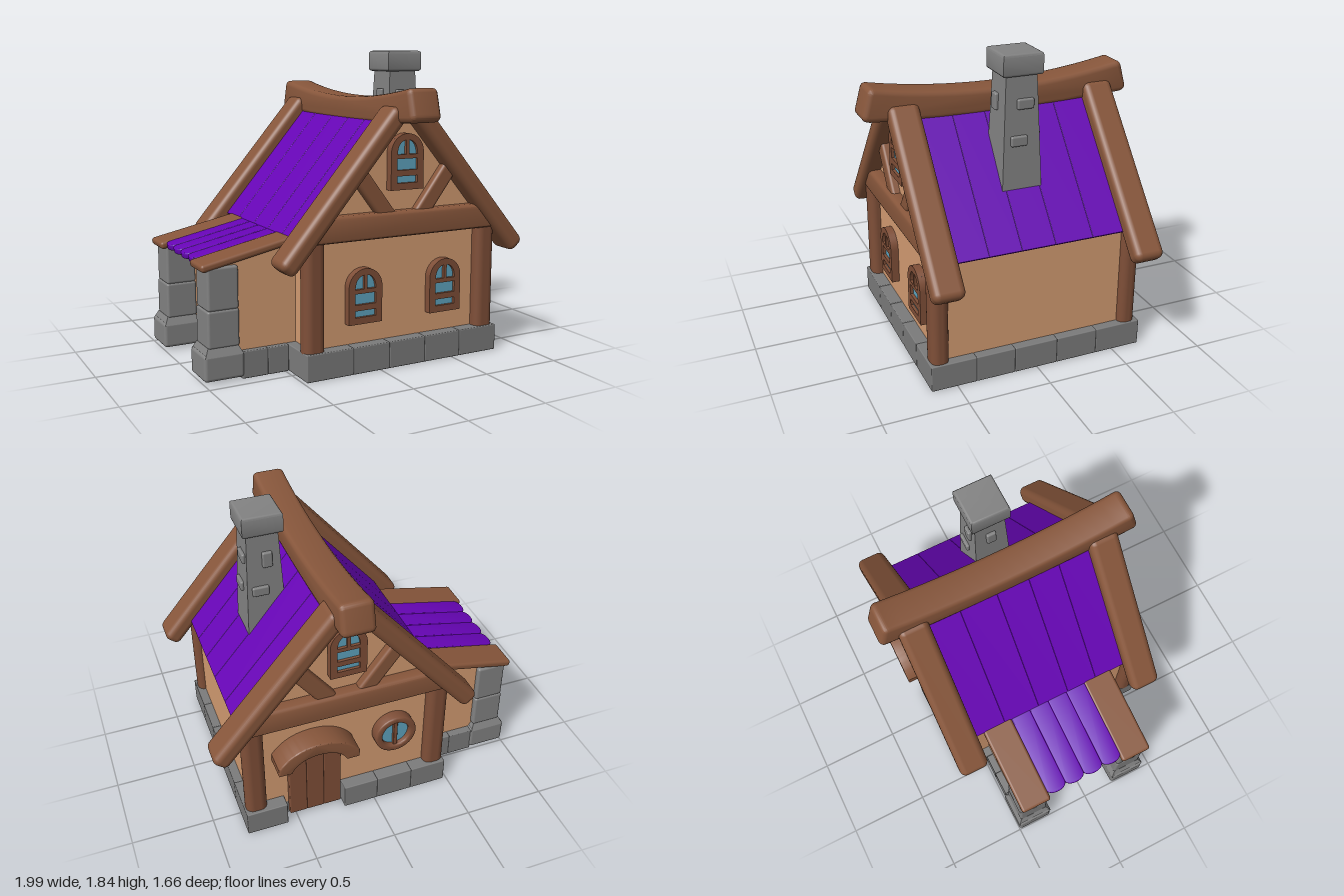
import * as THREE from 'three';
import { toCreasedNormals } from 'three/addons/utils/BufferGeometryUtils.js';
import { RoundedBoxGeometry } from 'three/addons/geometries/RoundedBoxGeometry.js';

const mat = (name, color) => Object.assign(new THREE.MeshStandardMaterial({ color }), { name });

export function createModel() {
  const wood = mat('timber', 0x87563b);
  const darkWood = mat('darkTimber', 0x7f4f38);
  const plaster = mat('plaster', 0xd49c72);
  const purple = mat('purpleRoof', 0x6705b6);
  const stone = mat('stone', 0x828282);
  const baseStone = mat('foundationStone', 0x7b7b7b);
  const glass = mat('glass', 0x5fa5c0);

  const house = new THREE.Group();
  house.name = 'cottage';

  const add = (parent, name, geo, material, x = 0, y = 0, z = 0, rotZ = 0) => {
    const m = new THREE.Mesh(geo, material);
    m.name = name;
    m.position.set(x, y, z);
    m.rotation.z = rotZ;
    parent.add(m);
    return m;
  };
  const group = (name, parent = house) => {
    const g = new THREE.Group();
    g.name = name;
    parent.add(g);
    return g;
  };
  const rbox = (w, h, d, r = 0.01) => new RoundedBoxGeometry(w, h, d, 3, r);
  const poly = (pts) => new THREE.Shape(pts.map(([x, y]) => new THREE.Vector2(x, y)));
  const extrude = (shape, depth, bevel = 0) => toCreasedNormals(new THREE.ExtrudeGeometry(shape, {
    depth: depth - 2 * bevel, bevelEnabled: bevel > 0, bevelThickness: bevel, bevelSize: bevel,
    bevelOffset: -bevel, bevelSegments: 3, curveSegments: 16,
  }).translate(0, 0, bevel), 0.6);
  // Box whose top is narrower than its bottom, standing on y = 0
  const taperedBox = (bottom, top, h) => {
    const g = new THREE.BoxGeometry(bottom, h, bottom).translate(0, h / 2, 0);
    const p = g.attributes.position;
    for (let i = 0; i < p.count; i++) {
      if (p.getY(i) > h / 2) p.setXYZ(i, p.getX(i) * top / bottom, h, p.getZ(i) * top / bottom);
    }
    g.computeVertexNormals();
    return g;
  };

  const CX = 0.177;             // ridge line
  const SLOPE = 1.172;          // main roof pitch
  const ANGLE = Math.atan(SLOPE);
  const beamY = (d) => 1.569 - SLOPE * d; // barge beam axis at distance d from the ridge
  const roofY = (d) => beamY(d) - 0.041;  // middle of the roof planks

  // Foundation: rows of stones around a floor slab
  const foundation = group('foundation');
  const rowX = (cuts, z) => {
    for (let i = 0; i + 1 < cuts.length; i++) {
      add(foundation, 'foundationStone', rbox(cuts[i + 1] - cuts[i], 0.16, 0.12, 0.006), baseStone,
        (cuts[i] + cuts[i + 1]) / 2, 0.08, z);
    }
  };
  const rowZ = (cuts, x) => {
    for (let i = 0; i + 1 < cuts.length; i++) {
      add(foundation, 'foundationStone', rbox(0.12, 0.16, cuts[i + 1] - cuts[i], 0.006), baseStone,
        x, 0.08, (cuts[i] + cuts[i + 1]) / 2);
    }
  };
  rowX([-0.48, -0.18, 0.06, 0.305, 0.555, 0.825], 0.596);
  rowX([-0.48, -0.25, -0.02, 0.2], -0.62);
  rowX([0.57, 0.825], -0.62);
  for (const z of [0.36, -0.43]) rowX([-0.77, -0.61, -0.48], z);
  for (const x of [0.765, -0.42]) rowZ([-0.68, -0.39, -0.13, 0.14, 0.38, 0.656], x);
  add(foundation, 'floorSlab', new THREE.BoxGeometry(1.2, 0.1, 1.18), baseStone, CX, 0.055, -0.01);

  // Main walls with gables
  const eave = roofY(0.595) - 0.03;
  const body = poly([[-0.42, 0.1], [0.77, 0.1], [0.77, eave], [CX, roofY(0) - 0.03], [-0.42, eave]]);
  add(house, 'walls', extrude(body, 1.18), plaster, 0, 0, -0.6);

  // Corner posts
  for (const x of [-0.415, 0.75]) for (const z of [0.59, -0.607]) {
    add(house, 'cornerPost', rbox(0.13, 0.72, 0.108, 0.045), darkWood, x, 0.46, z);
  }

  // Arched window: frame with four panes, base at y = 0
  const frame = new THREE.Shape();
  frame.moveTo(-0.11, 0);
  frame.lineTo(0.11, 0);
  frame.lineTo(0.11, 0.215);
  frame.absarc(0, 0.215, 0.11, 0, Math.PI, false);
  frame.lineTo(-0.11, 0);
  for (const [a, b] of [[0.04, 0.08], [0.115, 0.18]]) {
    frame.holes.push(poly([[-0.068, a], [-0.068, b], [0.068, b], [0.068, a]]));
  }
  for (const s of [-1, 1]) {
    const pane = new THREE.Path();
    pane.moveTo(s * 0.01, 0.205);
    pane.lineTo(s * 0.068, 0.205);
    pane.quadraticCurveTo(s * 0.065, 0.28, s * 0.01, 0.287);
    pane.lineTo(s * 0.01, 0.205);
    frame.holes.push(pane);
  }
  const frameGeo = extrude(frame, 0.048);
  const paneGeo = new THREE.BoxGeometry(0.15, 0.265, 0.008);
  const archedWindow = (parent, x, y) => {
    const w = group('archedWindow', parent);
    add(w, 'windowFrame', frameGeo, darkWood);
    add(w, 'windowGlass', paneGeo, glass, 0, 0.163, 0.026);
    w.position.set(x, y, 0);
  };

  // Gable timbers and gable window, front and back
  const tie = poly([[-0.625, 0.775], [0.625, 0.775], [0.515, 0.925], [-0.515, 0.925]]);
  const tieGeo = extrude(tie, 0.1, 0.028);
  const gables = [0.58, -0.608].map((z, i) => {
    const g = group(i ? 'backGable' : 'frontGable');
    g.position.set(CX, 0, z);
    g.rotation.y = i * Math.PI;
    add(g, 'tieBeam', tieGeo, wood, 0, 0, -0.025);
    for (const s of [-1, 1]) {
      add(g, 'brace', rbox(0.1, 0.36, 0.07, 0.02), wood, s * 0.205, 1.02, 0.015, -s * 0.65);
      add(g, 'bargeBeam', rbox(1.13, 0.113, 0.186, 0.04), wood, s * 0.422, beamY(0.422), 0.015, -s * ANGLE);
    }
    archedWindow(g, 0.005, 1.045);
    return g;
  });
  for (const x of [-0.09, 0.46]) archedWindow(gables[0], x - CX, 0.285);

  // Main roof planks
  const planks = [-0.56, -0.335, -0.1, 0.107, 0.305, 0.54];
  for (const s of [-1, 1]) {
    for (let i = 0; i < 5; i++) {
      add(house, 'roofPlank', rbox(0.64 / Math.cos(ANGLE), 0.02, planks[i + 1] - planks[i], 0.003), purple,
        CX + s * 0.32, roofY(0.32), (planks[i] + planks[i + 1]) / 2, -s * ANGLE);
    }
  }

  // Sagging ridge beam with rounded ends
  const ridge = new THREE.Shape();
  ridge.moveTo(-0.79, 1.44);
  ridge.quadraticCurveTo(0, 1.375, 0.79, 1.44);
  ridge.quadraticCurveTo(0.838, 1.45, 0.825, 1.49);
  ridge.lineTo(0.795, 1.6);
  ridge.quadraticCurveTo(0.785, 1.64, 0.745, 1.628);
  ridge.quadraticCurveTo(0, 1.49, -0.745, 1.628);
  ridge.quadraticCurveTo(-0.785, 1.64, -0.795, 1.6);
  ridge.lineTo(-0.825, 1.49);
  ridge.quadraticCurveTo(-0.838, 1.45, -0.79, 1.44);
  add(house, 'ridgeBeam', extrude(ridge, 0.2, 0.03).rotateY(-Math.PI / 2), wood, 0.279, 0, 0);

  // Chimney
  const chimney = group('chimney');
  chimney.position.set(0.474, 0, 0.01);
  add(chimney, 'shaft', taperedBox(0.25, 0.18, 0.85), stone, 0, 0.95, 0);
  const cap = poly([[-0.12, -0.12], [0.12, -0.12], [0.12, 0.12], [-0.12, 0.12]]);
  cap.holes.push(poly([[-0.09, -0.09], [-0.09, 0.09], [0.09, 0.09], [0.09, -0.09]]));
  add(chimney, 'cap', extrude(cap, 0.127, 0.016).rotateX(-Math.PI / 2), stone, 0, 1.709, 0);
  // side (quarter turns from the front), offset, height, width, brick height
  for (const [q, o, y, w, h] of [[0, -0.025, 1.545, 0.06, 0.1], [1, 0.02, 1.55, 0.1, 0.06], [1, -0.02, 1.34, 0.1, 0.06],
    [2, 0.02, 1.545, 0.06, 0.1], [2, -0.03, 1.345, 0.1, 0.06], [3, 0, 1.55, 0.06, 0.1]]) {
    const side = group('chimneyBrick', chimney);
    side.rotation.y = q * Math.PI / 2;
    add(side, 'brick', rbox(w, h, 0.04, 0.01), stone, o, y, 0.092 + (1.71 - y) * 0.041);
  }

  // Back door with curved hood
  const door = group('door');
  for (const i of [-1, 0, 1]) {
    add(door, 'doorPlank', rbox(0.112, i ? 0.53 : 0.57, 0.05, 0.008), darkWood, 0.375 + i * 0.11, i ? 0.285 : 0.305, -0.61);
  }
  const hood = new THREE.Shape();
  hood.moveTo(-0.25, 0.485);
  hood.lineTo(-0.17, 0.485);
  hood.quadraticCurveTo(-0.13, 0.575, 0, 0.58);
  hood.quadraticCurveTo(0.13, 0.575, 0.17, 0.485);
  hood.lineTo(0.25, 0.485);
  hood.lineTo(0.25, 0.535);
  hood.quadraticCurveTo(0.16, 0.66, 0, 0.66);
  hood.quadraticCurveTo(-0.16, 0.66, -0.25, 0.535);
  hood.lineTo(-0.25, 0.485);
  add(door, 'doorHood', extrude(hood, 0.17, 0.008), wood, 0.383, 0, -0.75);

  // Round back window
  const round = group('roundWindow');
  round.position.set(-0.135, 0.497, -0.6);
  const ring = new THREE.Shape().absarc(0, 0, 0.132, 0, Math.PI * 2, false);
  ring.holes.push(new THREE.Path().absarc(0, 0, 0.088, 0, Math.PI * 2, true));
  add(round, 'roundFrame', extrude(ring, 0.08, 0.012), darkWood, 0, 0, -0.072);
  add(round, 'roundGlass', new THREE.CylinderGeometry(0.1, 0.1, 0.008, 32).rotateX(Math.PI / 2), glass, 0, 0, -0.035);
  add(round, 'mullion', rbox(0.026, 0.2, 0.03, 0.005), darkWood, 0, 0, -0.045);

  // Side lean-to: walls, stone pillars, edge boards and round-ended tiles
  const leanTo = group('leanTo');
  const TILT = Math.atan(0.21);
  const leanY = (x) => 0.655 + 0.21 * (x + 1);
  const sideWall = poly([[-0.88, 0.1], [-0.41, 0.1], [-0.41, leanY(-0.41) - 0.01], [-0.88, leanY(-0.88) - 0.01]]);
  const sideWallGeo = extrude(sideWall, 0.05);
  for (const [wallZ, z] of [[0.335, 0.317], [-0.445, -0.385]]) {
    add(leanTo, 'sideWall', sideWallGeo, plaster, 0, 0, wallZ);
    add(leanTo, 'pillarBase', rbox(0.24, 0.155, 0.23, 0.02), stone, -0.88, 0.0925, z);
    add(leanTo, 'pillarNeck', taperedBox(0.23, 0.18, 0.05), stone, -0.88, 0.155, z);
    add(leanTo, 'pillarStone', rbox(0.19, 0.22, 0.19, 0.015), stone, -0.875, 0.305, z);
    add(leanTo, 'pillarStone', rbox(0.185, 0.25, 0.185, 0.015), stone, -0.874, 0.535, z);
    add(leanTo, 'edgeBoard', rbox(0.58, 0.045, 0.196, 0.018), wood, -0.717, leanY(-0.717), z, TILT);
  }
  const tile = new THREE.Shape();
  tile.moveTo(0.265, -0.0645);
  tile.lineTo(0.265, 0.0645);
  tile.lineTo(-0.235, 0.0645);
  tile.bezierCurveTo(-0.28, 0.055, -0.28, -0.055, -0.235, -0.0645);
  tile.lineTo(0.265, -0.0645);
  const tileGeo = extrude(tile, 0.036, 0.007).rotateX(-Math.PI / 2).translate(0, -0.018, 0);
  for (let i = 0; i < 4; i++) {
    add(leanTo, 'roofTile', tileGeo, purple, -0.715, leanY(-0.715) + 0.002, -0.226 + i * 0.129, TILT);
  }
  // Rafters under the tiles
  for (const x of [-0.9, -0.6]) {
    add(leanTo, 'rafter', rbox(0.045, 0.04, 0.62, 0.006), darkWood, x, leanY(x) - 0.036, -0.034, TILT);
  }
  return house;
}
